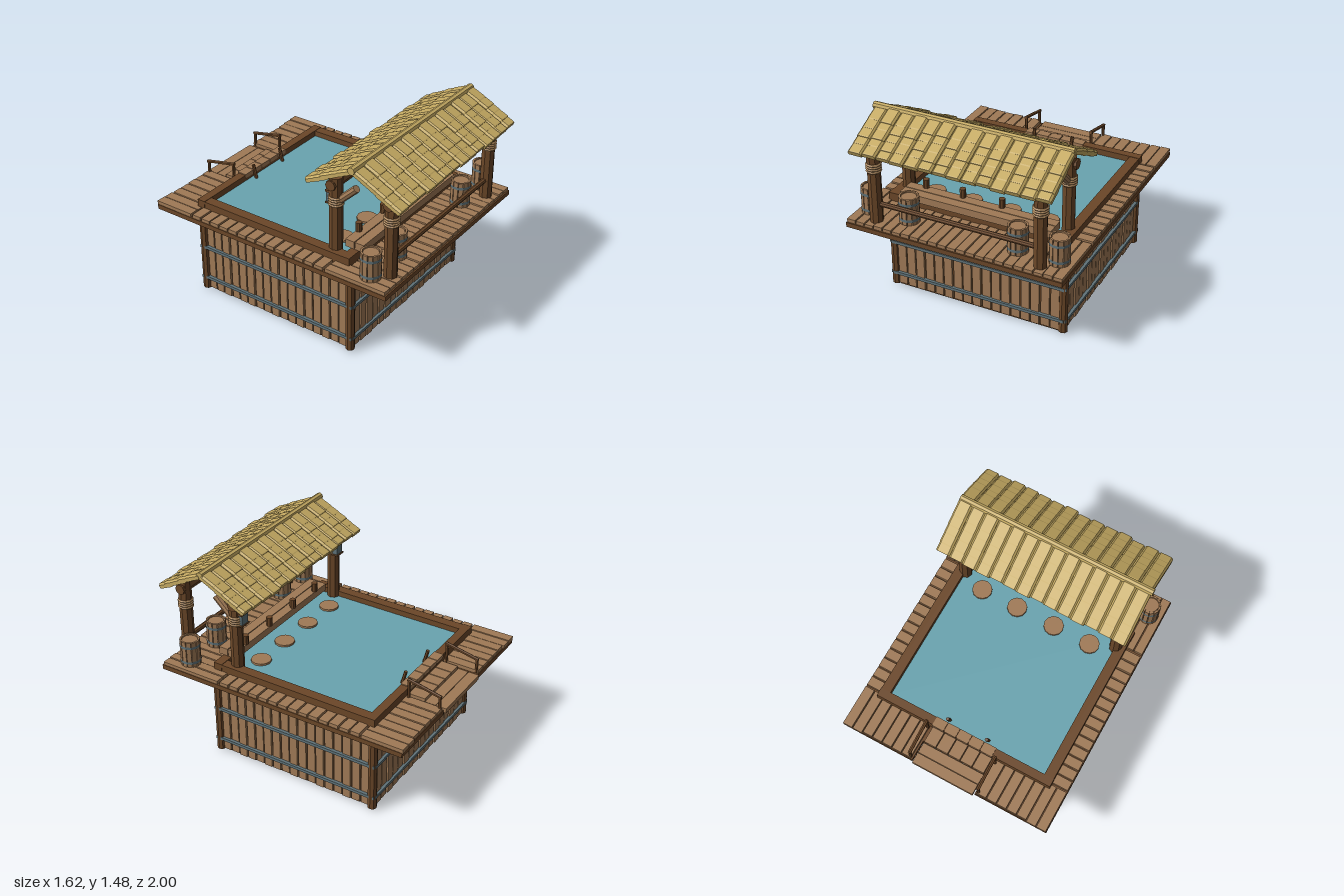
import * as THREE from 'three';

const flat = (name, color) => {
  const m = new THREE.MeshStandardMaterial({ color, flatShading: true });
  m.name = name;
  return m;
};

export function createModel() {
  const model = new THREE.Group();
  model.name = 'poolBar';
  const light = flat('lightWood', 0xa07a56);
  const dark = flat('darkWood', 0x6b4728);
  const straw = flat('straw', 0xc5aa62);
  const water = flat('water', 0x69a4b0);
  const metal = flat('metal', 0x5f7278);
  const rope = flat('rope', 0xb08a5e);

  const add = (geo, mat, name, parent = model) => {
    const m = new THREE.Mesh(geo, mat);
    m.name = name;
    parent.add(m);
    return m;
  };
  // box given by its minimum and maximum on each axis
  const box = (name, mat, x0, x1, y0, y1, z0, z1, parent) => {
    const m = add(new THREE.BoxGeometry(x1 - x0, y1 - y0, z1 - z0), mat, name, parent);
    m.position.set((x0 + x1) / 2, (y0 + y1) / 2, (z0 + z1) / 2);
    return m;
  };
  // round log between two points
  const log = (name, mat, a, b, r, sides = 8, parent) => {
    const p = new THREE.Vector3(...a), q = new THREE.Vector3(...b);
    const d = q.clone().sub(p);
    const m = add(new THREE.CylinderGeometry(r, r, d.length(), sides), mat, name, parent);
    m.position.copy(p).add(q).multiplyScalar(0.5);
    m.quaternion.setFromUnitVectors(new THREE.Vector3(0, 1, 0), d.normalize());
    return m;
  };
  const sides = [-1, 1];

  // tub: base, core, wall planks, corner posts and metal bands
  box('base', dark, -0.64, 0.64, 0, 0.03, -0.67, 0.57);
  box('tubCore', dark, -0.655, 0.655, 0.02, 0.66, -0.69, 0.58);
  const n = 17;
  for (let i = 0; i < n; i++) {
    const px = 1.28 / n, x0 = -0.64 + i * px + 0.006, x1 = x0 + px - 0.012;
    const pz = 1.23 / n, z0 = -0.67 + i * pz + 0.006, z1 = z0 + pz - 0.012;
    const t = (i % 3) * 0.003;
    box('frontWallPlank', light, x0, x1, 0.025, 0.66, 0.57, 0.592 + t);
    box('backWallPlank', light, x0, x1, 0.025, 0.66, -0.702 - t, -0.68);
    for (const s of sides) {
      const a = s * 0.645, b = s * (0.667 + t);
      box('sideWallPlank', light, Math.min(a, b), Math.max(a, b), 0.025, 0.66, z0, z1);
    }
  }
  for (const s of sides) for (const z of [0.58, -0.69]) {
    log('cornerPost', dark, [s * 0.662, 0.02, z], [s * 0.662, 0.66, z], 0.033, 8);
  }
  for (const y of [0.115, 0.375]) {
    box('frontBand', metal, -0.675, 0.675, y - 0.011, y + 0.011, 0.585, 0.613);
    box('backBand', metal, -0.675, 0.675, y - 0.011, y + 0.011, -0.723, -0.695);
    box('leftBand', metal, 0.665, 0.69, y - 0.011, y + 0.011, -0.715, 0.605);
    box('rightBand', metal, -0.69, -0.665, y - 0.011, y + 0.011, -0.715, 0.605);
  }

  // deck frame, notched at the back for the step
  box('deckFrame', dark, -0.81, 0.81, 0.65, 0.685, -0.83, 0.95);
  for (const s of sides) box('deckFrameBack', dark, s > 0 ? 0.25 : -0.81, s > 0 ? 0.81 : -0.25, 0.65, 0.685, -0.985, -0.83);

  // front deck boards
  for (let i = 0; i < 23; i++) {
    const p = 1.62 / 23, x = -0.81 + i * p, outer = i < 2 || i > 20;
    box('frontDeckBoard', light, x + 0.004, x + p - 0.004, 0.68, 0.712 - (i % 3) * 0.003, outer ? 0.475 : 0.59, 0.94);
  }
  for (const s of sides) {
    const span = (name, mat, a, b, ...r) => box(name, mat, Math.min(s * a, s * b), Math.max(s * a, s * b), ...r);
    // side deck boards
    for (let i = 0; i < 14; i++) {
      const p = 1.13 / 14, z = -0.67 + i * p;
      span('sideDeckBoard', light, 0.67, 0.805, 0.68, 0.712 - (i % 2) * 0.003, z + 0.006, z + p - 0.006);
    }
    // back deck boards
    for (let i = 0; i < 7; i++) {
      const p = 0.55 / 7, x = 0.26 + i * p;
      span('backDeckBoard', light, x + 0.004, x + p - 0.004, 0.68, 0.712 - (i % 2) * 0.003, i > 4 ? -0.99 : -0.98, i > 4 ? -0.68 : -0.7);
    }
    // side rim and handrail
    span('sideRim', dark, 0.615, 0.688, 0.69, 0.762, -0.7, 0.58);
    const x = s * 0.27;
    log('handrailPost', dark, [x, 0.69, -0.73], [x, 0.85, -0.73], 0.012, 6);
    log('handrailPost', dark, [x, 0.69, -0.965], [x, 0.8, -0.965], 0.012, 6);
    log('handrail', dark, [x, 0.85, -0.72], [x, 0.795, -0.975], 0.013, 6);
    // ladder stiles leaning into the water
    log('ladderStile', dark, [s * 0.155, 0.7, -0.61], [s * 0.155, 0.82, -0.64], 0.013, 6);
  }

  // back step
  for (const z of [-1, -0.918]) box('stepBoard', light, -0.24, 0.24, 0.66, 0.695, z, z + 0.078);
  for (let i = 0; i < 5; i++) {
    const x = -0.24 + i * 0.096;
    box('entryBoard', light, x + 0.003, x + 0.093, 0.68, 0.714, -0.835, -0.71);
    box('rimBoard', light, x + 0.003, x + 0.093, 0.74, 0.772, -0.72, -0.648);
  }
  box('backRim', dark, -0.69, 0.69, 0.69, 0.765, -0.712, -0.65);
  box('frontRim', dark, -0.69, 0.69, 0.69, 0.765, 0.52, 0.585);
  box('water', water, -0.62, 0.62, 0.68, 0.72, -0.655, 0.53);

  // bar counter with cups, stools in the water
  for (const z of [0.475, 0.551]) box('counterBoard', light, -0.575, 0.575, 0.765, 0.82, z, z + 0.07);
  for (const x of [-0.44, -0.15, 0.15, 0.44]) {
    log('cup', dark, [x, 0.815, 0.49], [x, 0.887, 0.49], 0.023, 8);
    log('stool', light, [x, 0.7, 0.36], [x, 0.735, 0.36], 0.073, 12);
  }

  // barrels: staves around a dark drum, with hoops
  for (const x of [-0.71, -0.41, 0.41, 0.71]) {
    const barrel = new THREE.Group();
    barrel.name = 'barrel';
    barrel.position.set(x, 0.712, 0.77);
    model.add(barrel);
    log('barrelDrum', dark, [0, 0.005, 0], [0, 0.185, 0], 0.062, 12, barrel);
    log('barrelLid', light, [0, 0.18, 0], [0, 0.19, 0], 0.054, 12, barrel);
    for (let i = 0; i < 12; i++) {
      const a = (i / 12) * Math.PI * 2;
      const stave = add(new THREE.BoxGeometry(0.031, 0.198, 0.014), light, 'stave', barrel);
      stave.position.set(Math.sin(a) * 0.063, 0.099, Math.cos(a) * 0.063);
      stave.rotation.y = a;
    }
    for (const y of [0.035, 0.155]) {
      const hoop = add(new THREE.CylinderGeometry(0.0745, 0.0745, 0.02, 12, 1, true), metal, 'hoop', barrel);
      hoop.position.y = y;
      hoop.rotation.y = Math.PI / 12;
    }
  }

  // roof posts with rope windings, braces and lanterns
  for (const s of sides) {
    const x = s * 0.615;
    for (const z of [0.86, 0.43]) {
      log('roofPost', dark, [x, 0.7, z], [x, 1.3, z], 0.047, 8);
      for (let i = 0; i < 4; i++) {
        const ring = add(new THREE.TorusGeometry(0.046, 0.0105, 5, 10), rope, 'ropeWinding');
        ring.rotation.x = Math.PI / 2;
        ring.position.set(x, 1.1 + i * 0.017, z);
      }
    }
    log('brace', light, [x, 1.115, 0.44], [x, 1.26, 0.59], 0.027, 8);
    const lx = s * 0.6;
    box('lantern', metal, lx - 0.035, lx + 0.035, 1.1, 1.175, 0.365, 0.405);
    box('lanternCap', dark, lx - 0.042, lx + 0.042, 1.175, 1.19, 0.36, 0.41);
    box('lanternBase', dark, lx - 0.042, lx + 0.042, 1.09, 1.102, 0.36, 0.41);
  }
  for (const z of [0.86, 0.42]) log('roofBeam', dark, [-0.67, 1.248, z], [0.67, 1.248, z], 0.038, 8);
  log('frontRail', dark, [-0.6, 0.847, 0.86], [0.6, 0.847, 0.86], 0.019, 8);

  // thatch tile: chamfered section swept down the slope
  const w = 0.051, h = 0.034, c = 0.012;
  const section = new THREE.Shape([[-w, 0], [w, 0], [w, h - c], [w - c, h], [c - w, h], [-w, h - c]]
    .map(([x, y]) => new THREE.Vector2(x, y)));
  const tile = new THREE.ExtrudeGeometry(section, {
    depth: 0.105, bevelEnabled: true, bevelSize: 0.002, bevelThickness: 0.008, bevelSegments: 1,
  });
  for (const s of sides) {
    const slope = new THREE.Group();
    slope.name = s > 0 ? 'frontRoofSlope' : 'backRoofSlope';
    slope.position.set(0, 1.432, 0.625);
    slope.rotation.set(0.485, s > 0 ? 0 : Math.PI, 0, 'YXZ');
    model.add(slope);
    for (let i = 0; i < 14; i++) {
      for (let j = 0; j < 5; j++) {
        const t = add(tile, straw, 'thatchTile', slope);
        const offset = (((i * 5 + j * 3) % 7) - 3) * 0.002;
        t.position.set(s * (-0.672 + i * 0.1045), (i % 2) * 0.006 - 0.004 + offset * 0.4, 0.012 + j * 0.0675 + offset);
        t.rotation.x = -0.07;
      }
    }
  }
  log('roofRidge', straw, [-0.735, 1.453, 0.625], [0.735, 1.453, 0.625], 0.027, 8);

  return model;
}
